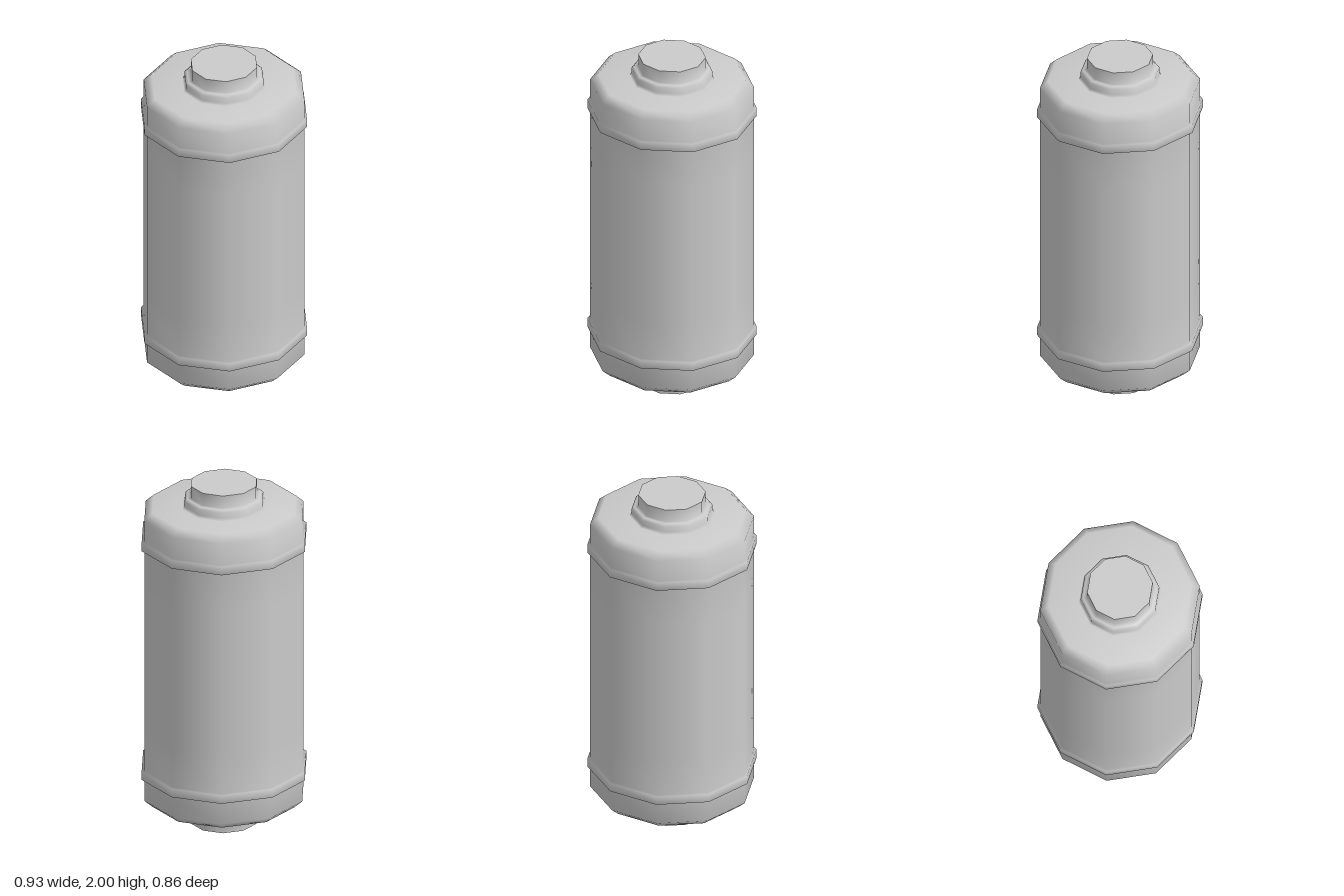
import * as THREE from 'three';

const SIDES = 10;
const DEPTH = 0.967; // slightly narrower front to back

export function createModel() {
  const group = new THREE.Group();
  const material = new THREE.MeshStandardMaterial({ color: 0xcccccc });

  const add = (name, geometry) => {
    geometry.scale(1, 1, DEPTH);
    const mesh = new THREE.Mesh(geometry, material);
    mesh.name = name;
    group.add(mesh);
  };

  // Upper half of the profile: [radius, height], from the wall to the terminal
  const upper = [
    [0.45, 1.42], [0.45, 1.652],                  // wall
    [0.465, 1.653], [0.465, 1.703], [0.45, 1.704], // raised band
    [0.45, 1.83], [0.405, 1.87],                  // chamfered end cap
    [0.232, 1.87], [0.222, 1.885], [0.222, 1.915], [0.207, 1.928], // collar
    [0.185, 1.928], [0.185, 2],                   // terminal
  ];
  const lower = upper.map(([r, y]) => [r, 2 - y]).reverse();
  const profile = [...lower, ...upper].map(([r, y]) => new THREE.Vector2(r, y));

  // Smooth ten-sided casing with a corner on the x axis
  add('casing', new THREE.LatheGeometry(profile, SIDES, Math.PI / 2));

  // Flat, sharp-edged terminal faces
  for (const top of [true, false]) {
    const face = new THREE.CircleGeometry(0.185, SIDES);
    face.rotateX(top ? -Math.PI / 2 : Math.PI / 2);
    face.translate(0, top ? 2 : 0, 0);
    add(top ? 'topTerminalFace' : 'bottomTerminalFace', face);
  }
  return group;
}
